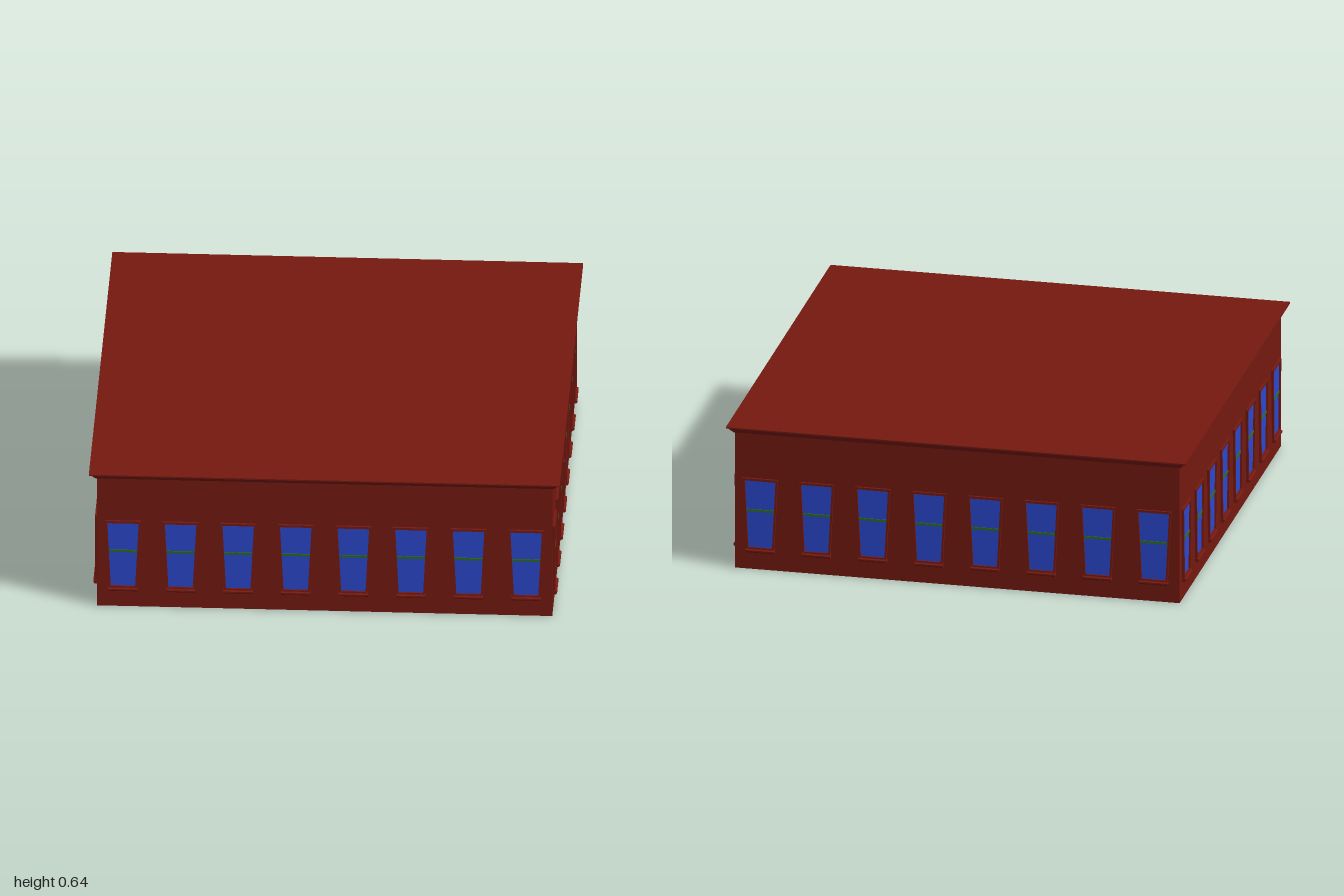
import * as THREE from 'three';

const brick = new THREE.MeshStandardMaterial({ color: 0x751910, flatShading: true });
const glassBlue = new THREE.MeshStandardMaterial({ color: 0x2c48d0, flatShading: true });
const barGreen = new THREE.MeshStandardMaterial({ color: 0x2e6b22, flatShading: true });

const WALL = 0.967;

function add(parent, name, geometry, material, x = 0, y = 0, z = 0) {
  const mesh = new THREE.Mesh(geometry, material);
  mesh.name = name;
  mesh.position.set(x, y, z);
  parent.add(mesh);
  return mesh;
}

// Corners of a window opening that widens towards the top
function taper(bottomHalf, topHalf, y0, y1) {
  return [[-bottomHalf, y0], [bottomHalf, y0], [topHalf, y1], [-topHalf, y1]]
    .map(([x, y]) => new THREE.Vector2(x, y));
}

// Square ring or slab with sloping sides
function frustum(bottomHalf, topHalf, height) {
  const r = Math.SQRT2;
  const g = new THREE.CylinderGeometry(topHalf * r, bottomHalf * r, height, 4);
  return g.rotateY(Math.PI / 4);
}

function windowGeometries() {
  const opening = taper(0.052, 0.067, 0.1, 0.402);
  const frameShape = new THREE.Shape(taper(0.06, 0.076, 0.092, 0.412));
  frameShape.holes.push(new THREE.Path(opening));
  const frame = new THREE.ExtrudeGeometry(frameShape, { depth: 0.01, bevelEnabled: false });

  // Sill profile (outward, up), swept along the wall
  const profile = new THREE.Shape([[0, 0.078], [0.012, 0.078], [0.018, 0.084], [0.018, 0.09], [0, 0.098]]
    .map(([x, y]) => new THREE.Vector2(x, y)));
  const sill = new THREE.ExtrudeGeometry(profile, { depth: 0.124, bevelEnabled: false });
  sill.translate(0, 0, -0.062).rotateY(-Math.PI / 2);

  return {
    frame,
    sill,
    glass: new THREE.ShapeGeometry(new THREE.Shape(opening)),
    bar: new THREE.BoxGeometry(0.119, 0.01, 0.004),
  };
}

export function createModel() {
  const model = new THREE.Group();
  model.name = 'building';

  // Main block and cornice
  add(model, 'walls', new THREE.BoxGeometry(WALL * 2, 0.62, WALL * 2), brick, 0, 0.31, 0);
  add(model, 'cornice', frustum(0.972, 0.995, 0.026), brick, 0, 0.627, 0);
  add(model, 'roofSlab', new THREE.BoxGeometry(2, 0.006, 2), brick, 0, 0.642, 0);

  // Eight windows on each of the four sides
  const geo = windowGeometries();
  for (let side = 0; side < 4; side++) {
    const facade = new THREE.Group();
    facade.name = ['front', 'left', 'back', 'right'][side] + 'Windows';
    facade.rotation.y = side * Math.PI / 2;
    for (let i = 0; i < 8; i++) {
      const unit = new THREE.Group();
      unit.name = 'window';
      unit.position.set((i - 3.5) * 0.2446, 0, WALL);
      add(unit, 'windowFrame', geo.frame, brick);
      // The sill sweeps along x after turning its profile outward
      const sill = add(unit, 'windowSill', geo.sill, brick);
      sill.rotation.y = -Math.PI / 2 + Math.PI / 2;
      add(unit, 'windowGlass', geo.glass, glassBlue, 0, 0, 0.002);
      add(unit, 'windowBar', geo.bar, barGreen, 0, 0.267, 0.004);
      facade.add(unit);
    }
    model.add(facade);
  }
  return model;
}
